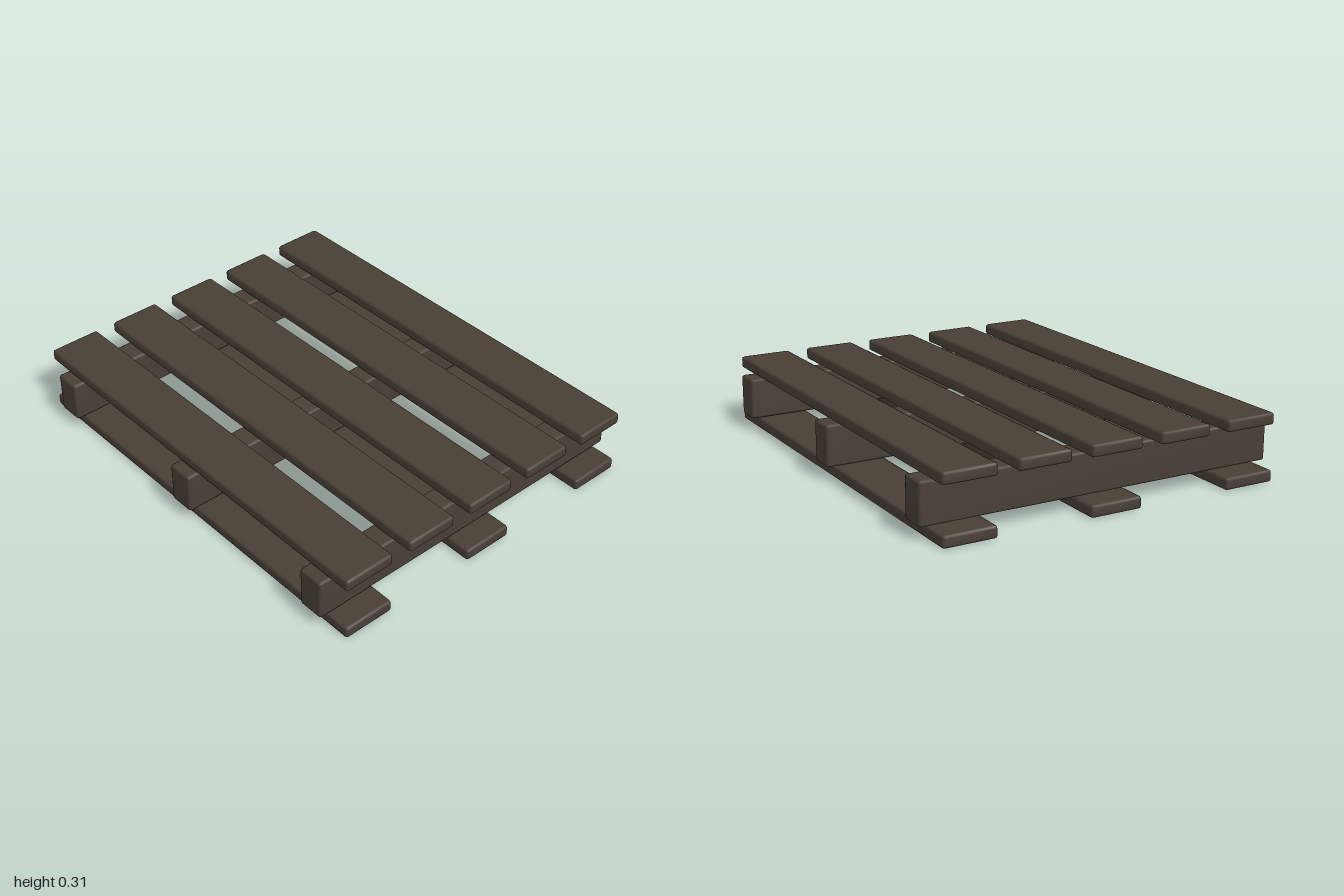
import * as THREE from 'three';
import { mergeVertices } from 'three/addons/utils/BufferGeometryUtils.js';

// Box with softly bevelled edges and shared normals, so the shading rolls over the edges
function bevelledBox(w, h, d, bevel = 0.012) {
  const geometry = new THREE.BoxGeometry(1, 1, 1, 3, 3, 3);
  geometry.deleteAttribute('normal');
  geometry.deleteAttribute('uv');
  const pos = geometry.attributes.position;
  const half = [w / 2, h / 2, d / 2];
  for (let i = 0; i < pos.count; i++) {
    const p = [pos.getX(i), pos.getY(i), pos.getZ(i)];
    const outer = p.filter((v) => Math.abs(v) > 0.4).length;
    // faces stay at full size, edges and corners are pulled in
    const pull = [0, 0, 0.29, 0.42][outer] * bevel;
    const q = p.map((v, k) => Math.sign(v) * (half[k] - (Math.abs(v) > 0.4 ? pull : bevel)));
    pos.setXYZ(i, ...q);
  }
  const merged = mergeVertices(geometry, 1e-5);
  merged.computeVertexNormals();
  return merged;
}

export function createModel() {
  const group = new THREE.Group();
  group.name = 'pallet';
  const wood = new THREE.MeshStandardMaterial({ color: 0x483f36 });
  wood.name = 'dark weathered wood';

  const board = bevelledBox(0.24, 0.054, 2);
  const beam = bevelledBox(1.66, 0.186, 0.122);
  const add = (name, geometry, x, y, z) => {
    const mesh = new THREE.Mesh(geometry, wood);
    mesh.name = name;
    mesh.position.set(x, y, z);
    group.add(mesh);
  };

  // five deck boards on top
  for (let i = -2; i <= 2; i++) add(`deckBoard${i + 3}`, board, i * 0.333, 0.278, 0);
  // three cross beams and three runners underneath
  for (let i = -1; i <= 1; i++) {
    add(`crossBeam${i + 2}`, beam, 0, 0.152, i * 0.833);
    add(`bottomRunner${i + 2}`, board, i * 0.666, 0.027, 0);
  }
  return group;
}
